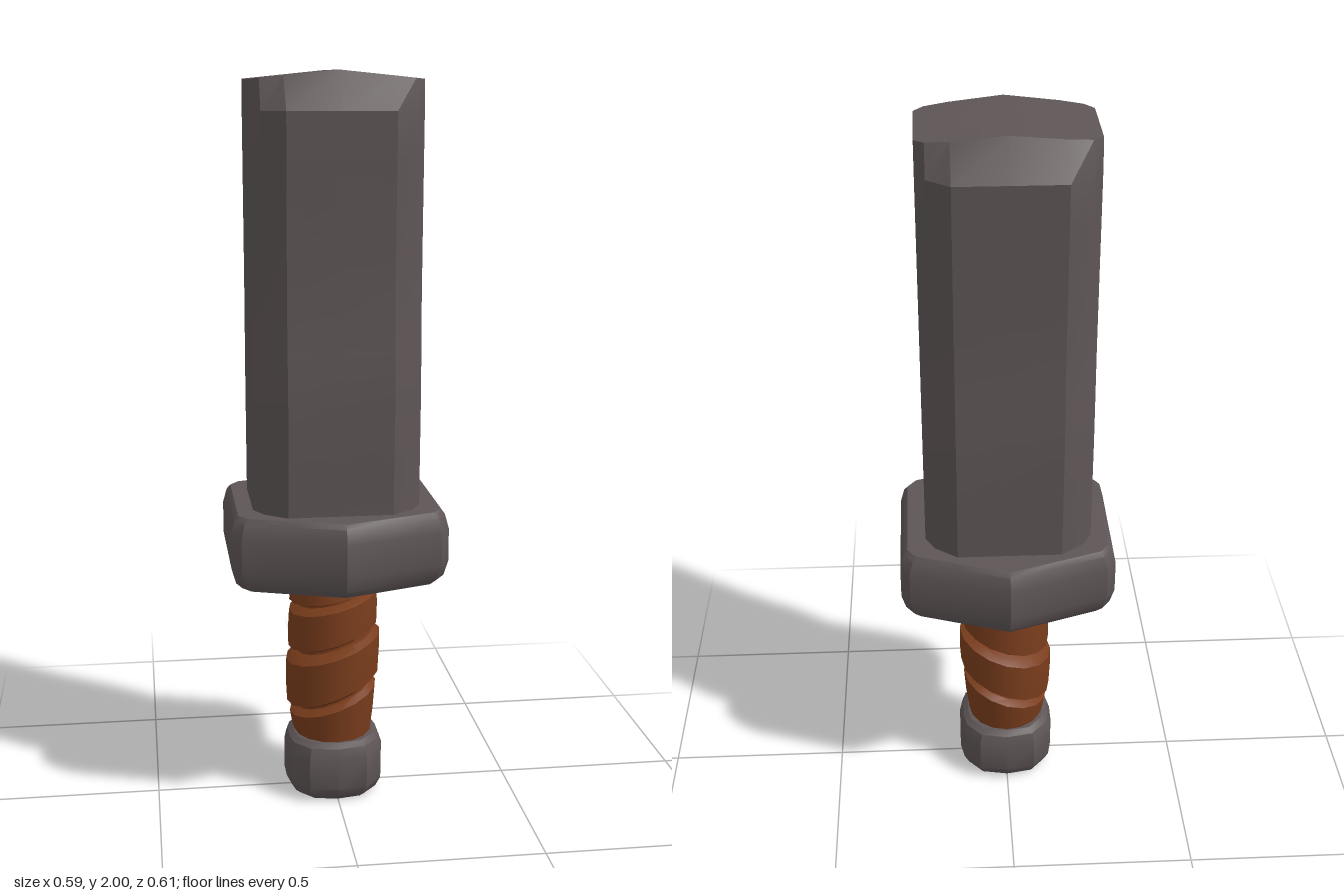
import * as THREE from 'three';
import { toCreasedNormals } from 'three/addons/utils/BufferGeometryUtils.js';

// Mirror a quarter outline ([x, z], from the front middle to the left side) into a full ring
function ring(quarter) {
  const back = [...quarter].reverse();
  return [
    ...quarter,
    ...back.map(([x, z]) => [x, -z]),
    ...quarter.slice(1).map(([x, z]) => [-x, -z]),
    ...back.slice(0, -1).map(([x, z]) => [-x, z]),
  ];
}

// Place an outline at a height; height may depend on x and z
function section(outline, height, sx = 1, sz = sx) {
  const h = typeof height === 'function' ? height : () => height;
  return outline.map(([x, z]) => [x * sx, h(x * sx, z * sz), z * sz]);
}

// Join sections from bottom to top and close both ends
function loft(sections, crease) {
  const n = sections[0].length, last = sections.length - 1;
  const pos = sections.flat(2), idx = [];
  const centre = (s) => {
    pos.push(0, s.reduce((m, p) => Math.max(m, p[1] * (Math.abs(p[0]) < 1e-4 ? 1 : 0)), 0) ||
      s.reduce((m, p) => m + p[1] / n, 0), 0);
    return pos.length / 3 - 1;
  };
  const bottom = centre(sections[0]), top = centre(sections[last]);
  for (let i = 0; i < n; i++) {
    const j = (i + 1) % n;
    for (let s = 0; s < last; s++) {
      const a = s * n + i, b = s * n + j;
      idx.push(a, b, b + n, a, b + n, a + n);
    }
    idx.push(bottom, j, i, top, last * n + i, last * n + j);
  }
  const g = new THREE.BufferGeometry();
  g.setAttribute('position', new THREE.Float32BufferAttribute(pos, 3));
  g.setIndex(idx);
  return toCreasedNormals(g, crease);
}

export function createModel() {
  const steel = new THREE.MeshStandardMaterial({ name: 'dark steel', color: 0x5e5556 });
  const leather = new THREE.MeshStandardMaterial({ name: 'brown leather', color: 0x7a3d1c });
  const model = new THREE.Group();
  model.name = 'sword';
  const add = (name, geometry, material) => {
    const mesh = new THREE.Mesh(geometry, material);
    mesh.name = name;
    model.add(mesh);
    return mesh;
  };

  // Blade: broad chamfered block, slightly pinched at mid height, with a low ridged tip
  const bladeOutline = ring([[0, 0.213], [0.14, 0.213], [0.2, 0.165], [0.226, 0.115]]);
  const tipOutline = ring([[0, 0.155], [0.14, 0.148], [0.2, 0.135], [0.226, 0.108]]);
  const blade = [[0.82, 0.96], [0.95, 0.97], [1.15, 1.01], [1.28, 0.98], [1.42, 0.94], [1.6, 0.96], [1.78, 0.99], [1.9, 1.01]]
    .map(([y, sz]) => section(bladeOutline, y, 1, sz));
  blade.push(section(tipOutline, (x) => 2 - 0.1 * Math.abs(x)));
  add('blade', loft(blade, 0.45), steel).position.x = -0.003;

  // Guard: stretched hexagon with cut corners and soft bevels
  const guardOutline = ring([[0, 0.303], [0.14, 0.255], [0.268, 0.21], [0.293, 0.175]]);
  add('guard', loft([[0.65, 0.9], [0.668, 0.96], [0.71, 1], [0.8, 1], [0.84, 0.965], [0.853, 0.93]]
    .map(([y, s]) => section(guardOutline, y, s)), 0.55), steel);

  // Grip core, seen in the grooves between the wraps
  const core = new THREE.CylinderGeometry(0.1, 0.1, 0.52, 16);
  core.translate(0, 0.41, 0);
  add('gripCore', core, leather);

  // Leather wraps: tilted bands, higher on the left side; [y, tilt, radius] low and high
  const round = Array.from({ length: 16 }, (_, i) => {
    const a = (i / 16) * Math.PI * 2;
    return [Math.sin(a), Math.cos(a)];
  });
  const wraps = [
    [0.155, 0, 0.11, 0.28, 0.38, 0.128],
    [0.292, 0.38, 0.134, 0.438, 0.31, 0.137],
    [0.45, 0.31, 0.13, 0.57, 0.24, 0.127],
    [0.578, 0.24, 0.128, 0.66, 0, 0.112],
  ];
  wraps.forEach(([y0, t0, r0, y1, t1, r1], k) => {
    const rows = [[0, 0.84], [0.1, 1], [0.5, 1.015], [0.9, 1], [1, 0.84]].map(([f, s]) => {
      const y = y0 + (y1 - y0) * f, tilt = t0 + (t1 - t0) * f, r = (r0 + (r1 - r0) * f) * s;
      return section(round, (x) => y + tilt * x, r * 0.97, r * 1.02);
    });
    add('gripWrap' + (k + 1), loft(rows, 0.6), leather);
  });

  // Pommel: bevelled eight-sided knob
  const pommelOutline = ring([[0, 0.147], [0.08, 0.132], [0.126, 0.08], [0.136, 0.03]]);
  add('pommel', loft([[0, 0.8], [0.012, 0.9], [0.04, 1], [0.13, 1], [0.158, 0.93], [0.17, 0.82]]
    .map(([y, s]) => section(pommelOutline, y, s)), 0.55), steel);

  return model;
}
